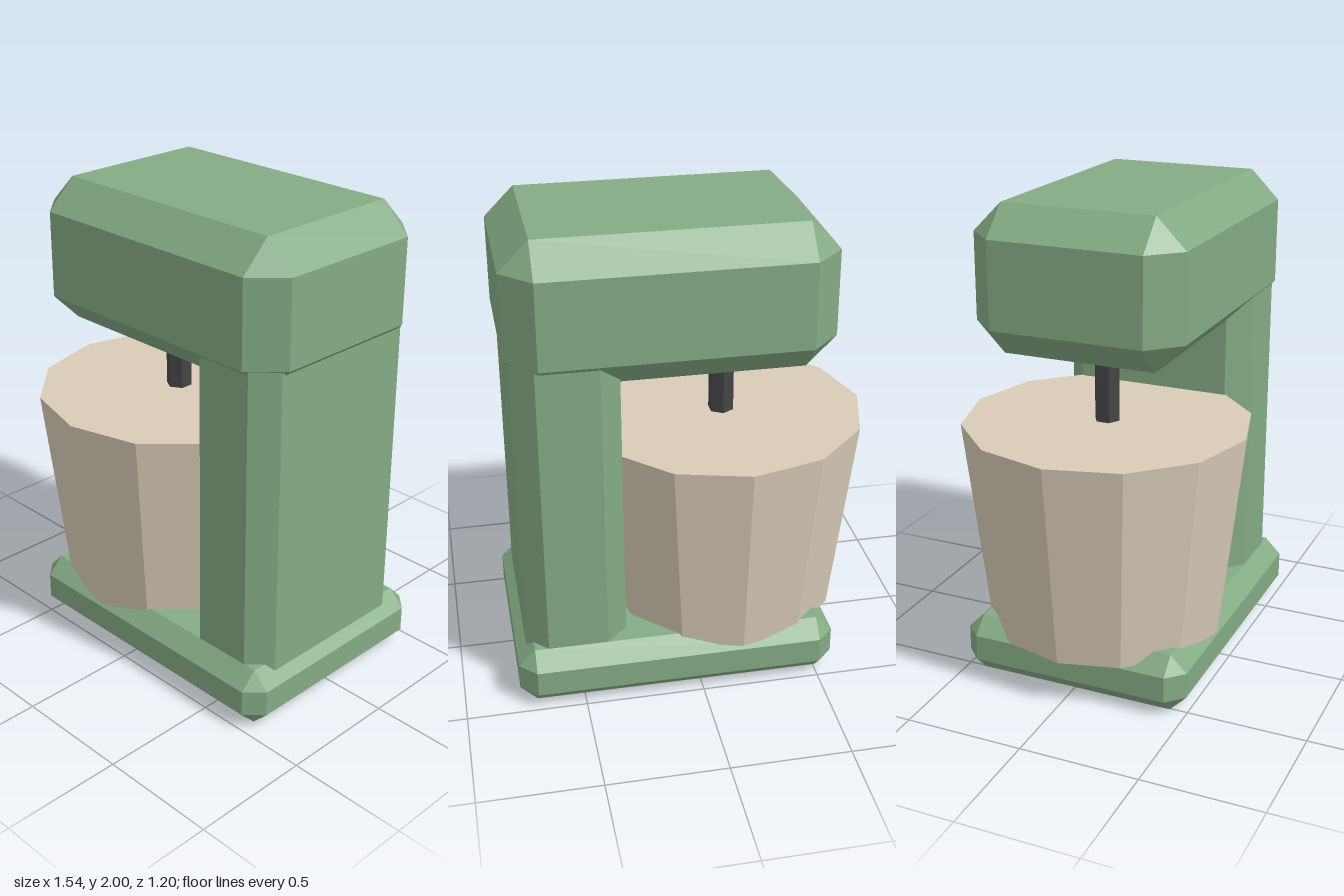
import * as THREE from 'three';
import { ConvexGeometry } from 'three/addons/geometries/ConvexGeometry.js';

const material = (name, color) => {
  const m = new THREE.MeshStandardMaterial({ color, flatShading: true });
  m.name = name;
  return m;
};

// Box with all edges cut by a flat chamfer c; each corner becomes three points
function chamferBox([x0, x1], [y0, y1], halfZ, c) {
  const points = [];
  for (const sx of [0, 1]) for (const sy of [0, 1]) for (const sz of [0, 1]) {
    const corner = [sx ? x1 : x0, sy ? y1 : y0, sz ? halfZ : -halfZ];
    const inward = [sx ? -c : c, sy ? -c : c, sz ? -c : c];
    for (let keep = 0; keep < 3; keep++) {
      points.push(new THREE.Vector3(...corner.map((v, i) => (i === keep ? v : v + inward[i]))));
    }
  }
  return new ConvexGeometry(points);
}

export function createModel() {
  const green = material('green enamel', 0x84ab84);
  const beige = material('beige bowl', 0xd9ccb7);
  const dark = material('dark metal', 0x444447);

  const group = new THREE.Group();
  group.name = 'standMixer';
  const add = (name, geometry, mat, x = 0, y = 0) => {
    const mesh = new THREE.Mesh(geometry, mat);
    mesh.name = name;
    mesh.position.set(x, y, 0);
    group.add(mesh);
  };

  // Body: base, column and overhanging head
  add('base', chamferBox([-0.575, 0.77], [0, 0.25], 0.495, 0.07), green);
  add('column', chamferBox([0.305, 0.73], [0.1, 1.7], 0.425, 0.088), green);
  add('head', chamferBox([-0.56, 0.75], [1.4, 2], 0.443, 0.122), green);

  // Tapered bowl and the beater shaft above it
  add('bowl', new THREE.CylinderGeometry(0.6, 0.498, 0.88, 12), beige, -0.17, 0.64);
  add('beaterShaft', new THREE.CylinderGeometry(0.055, 0.055, 0.5, 6), dark, -0.17, 1.2);

  return group;
}
